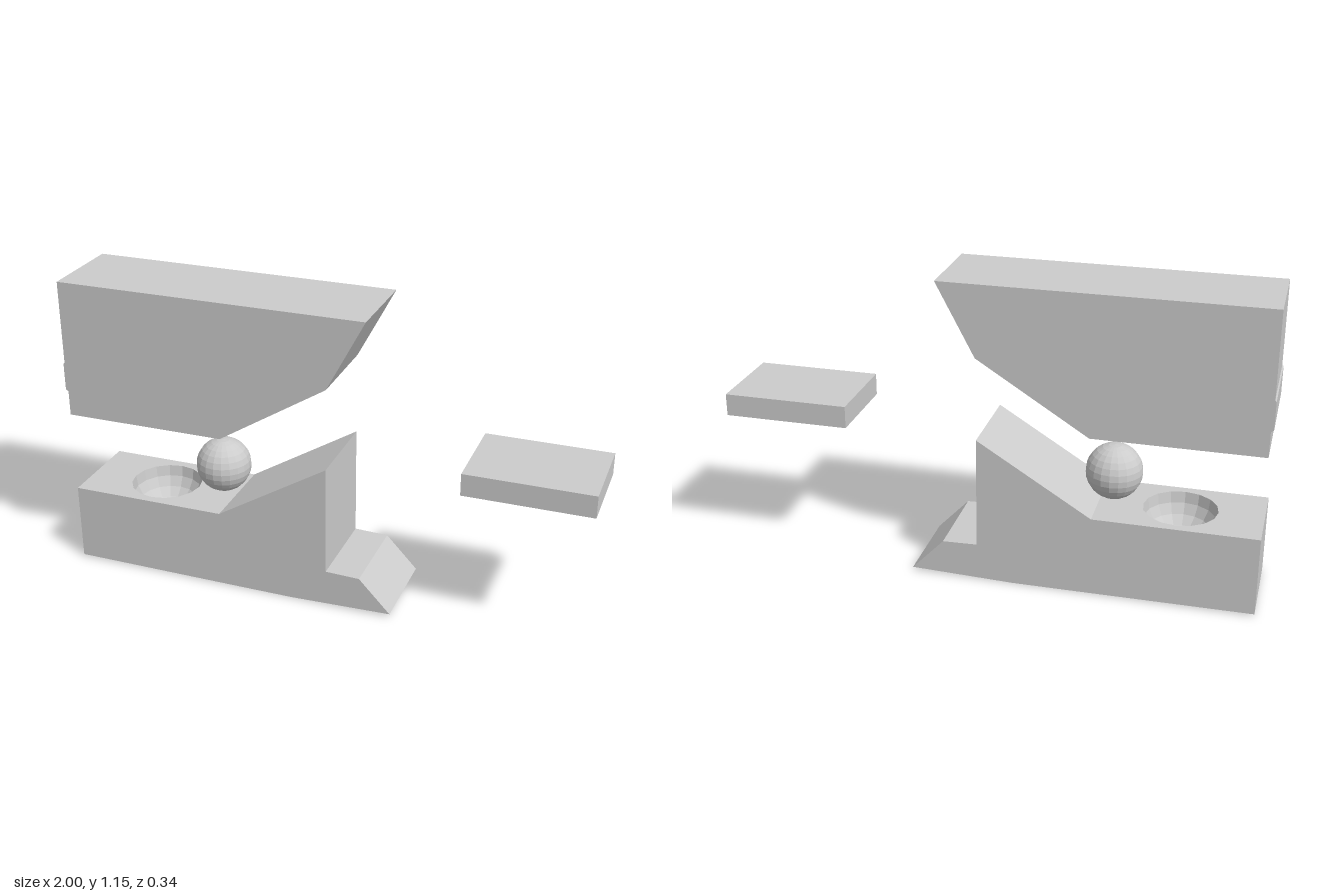
import * as THREE from 'three';

const DEPTH = 0.338;
const material = new THREE.MeshStandardMaterial({ color: 0xcccccc, flatShading: true });
const openMaterial = new THREE.MeshStandardMaterial({ color: 0xcccccc, flatShading: true, side: THREE.DoubleSide });

const toShape = (points) => new THREE.Shape(points.map(([x, y]) => new THREE.Vector2(x, y)));

// Side profile extruded across the full width, centred on z
function slab(points) {
  const geometry = new THREE.ExtrudeGeometry(toShape(points), { depth: DEPTH, bevelEnabled: false });
  return geometry.translate(0, 0, -DEPTH / 2);
}

// Leaves out the triangles lying flat at height y
function withoutLevel(geometry, y) {
  const p = geometry.attributes.position;
  const kept = [];
  for (let i = 0; i < p.count; i += 3) {
    if ([0, 1, 2].every((k) => Math.abs(p.getY(i + k) - y) < 1e-4)) continue;
    for (let k = 0; k < 3; k++) kept.push(p.getX(i + k), p.getY(i + k), p.getZ(i + k));
  }
  const result = new THREE.BufferGeometry();
  result.setAttribute('position', new THREE.Float32BufferAttribute(kept, 3));
  result.computeVertexNormals();
  return result;
}

export function createModel() {
  const model = new THREE.Group();
  const add = (parent, name, geometry, mat = material) => {
    const mesh = new THREE.Mesh(geometry, mat);
    mesh.name = name;
    parent.add(mesh);
    return mesh;
  };

  // Base: flat shelf, ramp, vertical wall and low toe
  const base = new THREE.Group();
  base.name = 'base';
  model.add(base);
  const left = -0.99, rampStart = -0.39, shelfY = 0.305;
  const body = slab([
    [left, 0.006], [-0.3, 0.001], [-0.1, 0], [0.285, 0.011], [0.165, 0.138],
    [0.035, 0.142], [0.035, 0.565], [rampStart, shelfY], [left, shelfY],
  ]);
  add(base, 'baseBody', withoutLevel(body, shelfY));

  // Shelf top with a round opening, and the bowl sunk into it
  const bowlX = -0.688, bowlRadius = 0.137, sides = 16, half = DEPTH / 2;
  const shelf = toShape([[left, -half], [rampStart, -half], [rampStart, half], [left, half]]);
  const rim = [];
  for (let i = 0; i < sides; i++) {
    const a = (i / sides) * Math.PI * 2;
    rim.push(new THREE.Vector2(bowlX + bowlRadius * Math.cos(a), bowlRadius * Math.sin(a)));
  }
  shelf.holes.push(new THREE.Path(rim));
  add(base, 'shelfTop', new THREE.ShapeGeometry(shelf).rotateX(-Math.PI / 2).translate(0, shelfY, 0));
  const bowl = new THREE.SphereGeometry(bowlRadius, sides, 5, 0, Math.PI * 2, Math.PI / 2, Math.PI / 2);
  add(base, 'bowl', bowl, openMaterial).position.set(bowlX, shelfY, 0);

  // Upper block with sloped underside and a slightly raised band on its end
  add(model, 'upperBlock', slab([
    [-0.99, 0.62], [-0.375, 0.62], [0.037, 0.878], [0.18, 1.147], [-0.995, 1.147],
    [-0.995, 0.832], [-1, 0.826], [-1, 0.722], [-0.99, 0.716],
  ]));

  // Ball
  add(model, 'ball', new THREE.SphereGeometry(0.105, 20, 14)).position.set(-0.44, 0.427, 0);

  // Loose plate
  add(model, 'plate', new THREE.BoxGeometry(0.47, 0.084, DEPTH)).position.set(0.765, 0.598, 0);

  return model;
}
